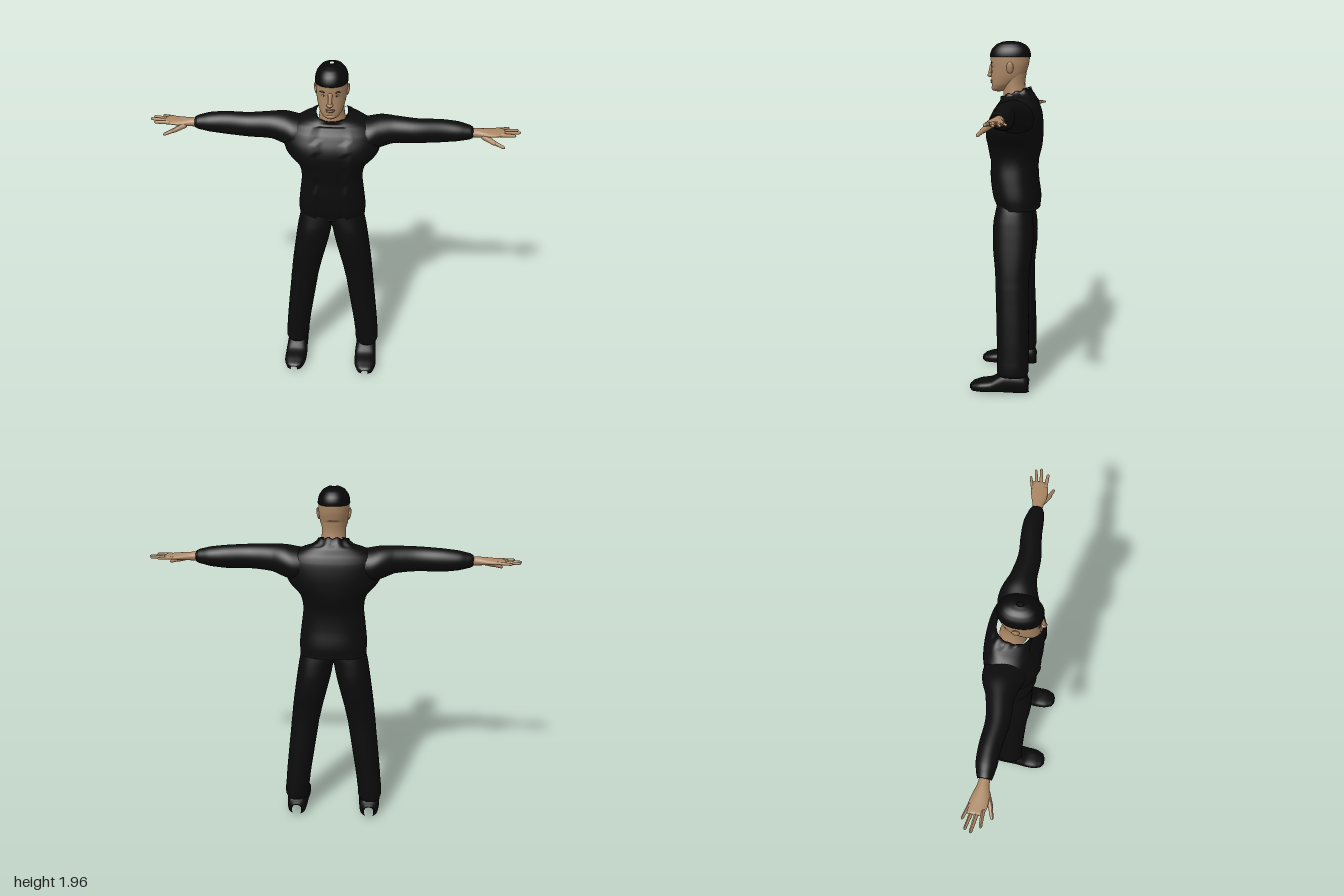
import * as THREE from 'three';

const mat = (name, color) => {
  const m = new THREE.MeshStandardMaterial({ color });
  m.name = name;
  return m;
};

// Smooth loft along an axis (0 x, 1 y, 2 z).
// Section: [position, u min, u max, v min, v max] with u = axis + 2, v = axis + 1 (mod 3).
function loft(axis, sections, { power = 2, seg = 40, steps = 4, warp } = {}) {
  const rings = [];
  const at = i => sections[Math.max(0, Math.min(sections.length - 1, i))];
  for (let i = 0; i < sections.length - 1; i++) {
    for (let k = 0; k < steps; k++) {
      const t = k / steps;
      rings.push(sections[0].map((_, c) => {
        const [a, b, d, e] = [at(i - 1)[c], at(i)[c], at(i + 1)[c], at(i + 2)[c]];
        if (c === 0) return b + (d - b) * t;
        return b + 0.5 * t * (d - a + t * (2 * a - 5 * b + 4 * d - e + t * (3 * (b - d) + e - a)));
      }));
    }
  }
  rings.push(at(sections.length));
  const pos = [], idx = [];
  const put = (p, u, v) => {
    const q = new THREE.Vector3();
    q.setComponent(axis, p);
    q.setComponent((axis + 2) % 3, u);
    q.setComponent((axis + 1) % 3, v);
    if (warp) warp(q);
    pos.push(q.x, q.y, q.z);
  };
  const bend = x => Math.sign(x) * Math.abs(x) ** (2 / power);
  for (const [p, u0, u1, v0, v1] of rings) {
    for (let j = 0; j < seg; j++) {
      const a = (j / seg) * Math.PI * 2;
      put(p, (u0 + u1) / 2 + (u1 - u0) / 2 * bend(Math.cos(a)),
        (v0 + v1) / 2 + (v1 - v0) / 2 * bend(Math.sin(a)));
    }
  }
  for (let i = 0; i < rings.length - 1; i++) {
    for (let j = 0; j < seg; j++) {
      const a = i * seg + j, b = i * seg + (j + 1) % seg;
      idx.push(a, a + seg, b, b, a + seg, b + seg);
    }
  }
  // end caps
  for (const i of [0, rings.length - 1]) {
    const [p, u0, u1, v0, v1] = rings[i], c = pos.length / 3;
    put(p, (u0 + u1) / 2, (v0 + v1) / 2);
    for (let j = 0; j < seg; j++) {
      const a = i * seg + j, b = i * seg + (j + 1) % seg;
      if (i) idx.push(c, a, b); else idx.push(c, b, a);
    }
  }
  const g = new THREE.BufferGeometry();
  g.setAttribute('position', new THREE.Float32BufferAttribute(pos, 3));
  g.setIndex(idx);
  g.computeVertexNormals();
  return g;
}

// Ellipsoid, optionally rolled about z
function ball(x, y, z, rx, ry, rz, roll = 0) {
  return new THREE.SphereGeometry(1, 20, 14).scale(rx, ry, rz).rotateZ(roll).translate(x, y, z);
}

// Tapered rounded finger from a to b
function finger(a, b, r) {
  const A = new THREE.Vector3(...a), B = new THREE.Vector3(...b);
  const d = B.clone().sub(A), g = new THREE.CapsuleGeometry(r, d.length() - r, 5, 10, 3);
  const p = g.attributes.position;
  for (let i = 0; i < p.count; i++) {
    const k = 0.88 - 0.3 * p.getY(i) / d.length();
    p.setX(i, p.getX(i) * k);
    p.setZ(i, p.getZ(i) * k);
  }
  g.applyQuaternion(new THREE.Quaternion().setFromUnitVectors(new THREE.Vector3(0, 1, 0), d.normalize()));
  const c = A.add(B).multiplyScalar(0.5);
  return g.translate(c.x, c.y, c.z);
}

function mirrored(geometry) {
  const g = geometry.clone().scale(-1, 1, 1), ix = g.index.array;
  for (let i = 0; i < ix.length; i += 3) [ix[i], ix[i + 1]] = [ix[i + 1], ix[i]];
  g.computeVertexNormals();
  return g;
}

export function createModel() {
  const root = new THREE.Group();
  const skin = mat('skin', 0xac8865), cloth = mat('jacket black', 0x0c0c0c);
  const trouser = mat('trouser black', 0x0b0b0b), leather = mat('shoe black', 0x090909);
  const hairMat = mat('hair black', 0x070707), brown = mat('brow brown', 0x3a291d);
  const lip = mat('lip', 0x8a6250), white = mat('eye white', 0xb5a898);
  const add = (name, g, m) => {
    const mesh = new THREE.Mesh(g, m);
    mesh.name = name;
    root.add(mesh);
  };
  const pair = (name, g, m) => {
    add(name + 'Left', g, m);
    add(name + 'Right', mirrored(g), m);
  };

  // Jacket body: recessed centre front and a ragged collar that rises at the back
  add('jacket', loft(1, [
    [1.035, -0.185, 0.185, -0.18, 0.06], [1.10, -0.188, 0.188, -0.185, 0.085],
    [1.20, -0.178, 0.178, -0.172, 0.10], [1.30, -0.168, 0.168, -0.17, 0.102],
    [1.38, -0.185, 0.185, -0.188, 0.115], [1.45, -0.245, 0.245, -0.193, 0.122],
    [1.51, -0.262, 0.262, -0.192, 0.112], [1.57, -0.255, 0.255, -0.185, 0.085],
    [1.61, -0.225, 0.225, -0.172, 0.06], [1.64, -0.16, 0.16, -0.155, 0.045],
    [1.66, -0.10, 0.10, -0.135, 0.045], [1.68, -0.083, 0.083, -0.125, 0.045],
  ], {
    power: 2.3, seg: 72, warp: v => {
      if (v.z > 0.02 && Math.abs(v.x) < 0.08 && v.y < 1.62) v.z -= 0.012;
      if (v.y > 1.62) v.y -= (v.z + 0.04) * 0.3 * (v.y - 1.62) / 0.06;
      if (v.y > 1.66) v.y += 0.005 * Math.cos(11 * Math.atan2(v.x, v.z + 0.04));
    },
  }), cloth);

  // Sleeves: x, then z range, then y range
  pair('sleeve', loft(0, [
    [0.12, -0.15, 0.04, 1.47, 1.625], [0.20, -0.165, 0.055, 1.455, 1.638],
    [0.26, -0.155, 0.035, 1.475, 1.65], [0.33, -0.125, 0.018, 1.502, 1.65],
    [0.45, -0.102, 0.02, 1.512, 1.645], [0.58, -0.11, 0.002, 1.515, 1.64],
    [0.67, -0.108, -0.003, 1.525, 1.63], [0.73, -0.092, -0.012, 1.538, 1.615],
    [0.745, -0.085, -0.018, 1.545, 1.607],
  ]), cloth);

  // Hands
  pair('palm', loft(0, [
    [0.70, -0.075, -0.025, 1.55, 1.60], [0.77, -0.08, -0.022, 1.552, 1.598],
    [0.82, -0.095, -0.012, 1.556, 1.594], [0.87, -0.106, -0.012, 1.56, 1.59],
    [0.905, -0.106, -0.022, 1.564, 1.588], [0.915, -0.098, -0.03, 1.57, 1.584],
  ], { seg: 24 }), skin);
  const tips = [[0.965, -0.027, 0.011], [0.995, -0.068, 0.011], [0.985, -0.097, 0.01], [0.94, -0.118, 0.009]];
  tips.forEach(([x, z, r], i) =>
    pair('finger' + (i + 1), finger([0.885 - i * 0.006, 1.576, -0.03 - i * 0.022], [x, 1.576, z], r), skin));
  pair('thumb', finger([0.80, 1.566, -0.03], [0.865, 1.54, 0.002], 0.017), skin);
  pair('thumbTip', finger([0.855, 1.545, -0.003], [0.91, 1.525, 0.015], 0.011), skin);

  // Trouser legs: y, then x range, then z range
  pair('trouserLeg', loft(1, [
    [0.10, 0.16, 0.28, -0.135, 0.028], [0.12, 0.15, 0.289, -0.142, 0.036],
    [0.20, 0.143, 0.284, -0.144, 0.036], [0.40, 0.115, 0.266, -0.14, 0.042],
    [0.60, 0.085, 0.246, -0.135, 0.05], [0.70, 0.063, 0.235, -0.14, 0.056],
    [0.80, 0.038, 0.222, -0.152, 0.068], [0.90, 0.014, 0.208, -0.156, 0.073],
    [0.97, 0, 0.197, -0.15, 0.07], [1.03, -0.03, 0.184, -0.142, 0.06],
    [1.09, -0.04, 0.165, -0.13, 0.05],
  ], { power: 2.3 }), trouser);

  // Shoes: z, then y range, then x range
  pair('shoe', loft(2, [
    [-0.148, 0.005, 0.07, 0.19, 0.245], [-0.13, 0, 0.105, 0.165, 0.27],
    [-0.08, 0, 0.12, 0.158, 0.278], [-0.01, 0, 0.12, 0.155, 0.28],
    [0.03, 0, 0.098, 0.152, 0.282], [0.07, 0, 0.073, 0.152, 0.284],
    [0.13, 0, 0.062, 0.156, 0.283], [0.175, 0, 0.048, 0.175, 0.265],
    [0.19, 0.008, 0.035, 0.2, 0.24],
  ], { power: 2.7 }), leather);

  // Neck and head
  add('neck', loft(1, [
    [1.62, -0.075, 0.075, -0.115, 0.03], [1.68, -0.066, 0.066, -0.098, 0.028],
    [1.73, -0.064, 0.064, -0.092, 0.035], [1.79, -0.066, 0.066, -0.1, 0.03],
  ]), skin);
  add('head', loft(1, [
    [1.683, -0.022, 0.022, 0.035, 0.078], [1.695, -0.042, 0.042, 0.005, 0.09],
    [1.72, -0.06, 0.06, -0.04, 0.094], [1.76, -0.073, 0.073, -0.085, 0.094],
    [1.81, -0.08, 0.08, -0.106, 0.094], [1.85, -0.082, 0.082, -0.115, 0.099],
    [1.88, -0.08, 0.08, -0.115, 0.097], [1.92, -0.06, 0.06, -0.09, 0.07],
  ], { power: 2.2 }), skin);
  add('hair', loft(1, [
    [1.868, -0.086, 0.086, -0.122, 0.104], [1.89, -0.084, 0.084, -0.122, 0.101],
    [1.915, -0.075, 0.075, -0.113, 0.09], [1.937, -0.058, 0.058, -0.092, 0.068],
    [1.95, -0.036, 0.036, -0.062, 0.038], [1.956, -0.01, 0.01, -0.025, 0.005],
  ], { power: 2.2 }), hairMat);
  add('noseBridge', finger([0, 1.83, 0.092], [0, 1.775, 0.107], 0.012), skin);
  add('noseTip', ball(0, 1.772, 0.103, 0.017, 0.011, 0.017), skin);
  add('upperLip', ball(0, 1.742, 0.094, 0.025, 0.005, 0.008), lip);
  add('lowerLip', ball(0, 1.733, 0.093, 0.022, 0.006, 0.008), lip);
  add('chin', ball(0, 1.702, 0.08, 0.026, 0.016, 0.016), skin);
  pair('ear', ball(0.083, 1.812, -0.018, 0.009, 0.032, 0.019, -0.15), skin);
  pair('brow', ball(0.034, 1.838, 0.089, 0.02, 0.004, 0.005, 0.1), brown);
  pair('eye', ball(0.033, 1.818, 0.084, 0.013, 0.005, 0.005), white);
  pair('iris', ball(0.033, 1.818, 0.087, 0.005, 0.005, 0.004), brown);

  return root;
}
